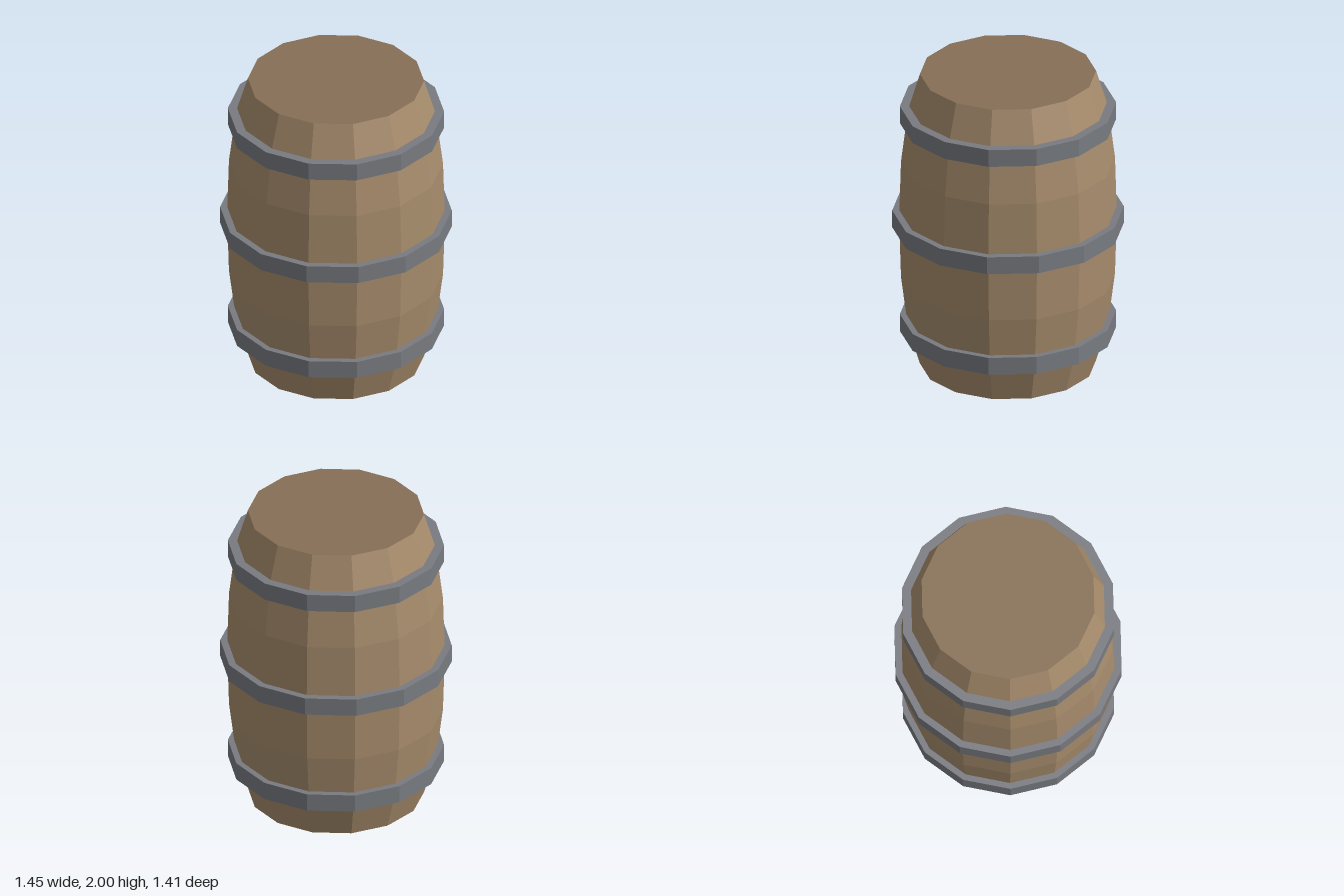
import * as THREE from 'three';

const SIDES = 14;

export function createModel() {
  const material = (name, color) =>
    new THREE.MeshStandardMaterial({ name, color, flatShading: true });
  const wood = material('stave wood', 0xa88d6d);
  const lidWood = material('lid wood', 0x876f56);
  const iron = material('hoop iron', 0x787b80);

  const barrel = new THREE.Group();
  barrel.name = 'barrel';

  const add = (name, geometry, mat) => {
    const mesh = new THREE.Mesh(geometry, mat);
    mesh.name = name;
    barrel.add(mesh);
    return mesh;
  };

  // Faceted ring with a corner on the x axis; profile is [radius, y] pairs
  const turn = (profile) => new THREE.LatheGeometry(
    profile.map(([r, y]) => new THREE.Vector2(r, y)), SIDES, Math.PI / 2);

  // Bulging body, mirrored about mid height
  const lower = [[0.55, 0], [0.623, 0.24], [0.668, 0.6]];
  const upper = lower.map(([r, y]) => [r, 2 - y]).reverse();
  add('staves', turn([...lower, [0.68, 1], ...upper]), wood);

  // Flat ends
  for (const [name, y, tilt] of [['topLid', 2, -1], ['bottomLid', 0, 1]]) {
    const lid = add(name, new THREE.CircleGeometry(0.55, SIDES), lidWood);
    lid.rotation.x = tilt * Math.PI / 2;
    lid.position.y = y;
  }

  // Iron hoops with a rectangular section
  const hoops = [
    ['lowerHoop', 0.285, 0.61, 0.675],
    ['middleHoop', 1.003, 0.66, 0.723],
    ['upperHoop', 1.722, 0.61, 0.675],
  ];
  for (const [name, y, inner, outer] of hoops) {
    const h = 0.058;
    add(name, turn([
      [inner, y - h], [outer, y - h], [outer, y + h], [inner, y + h], [inner, y - h],
    ]), iron);
  }

  return barrel;
}
